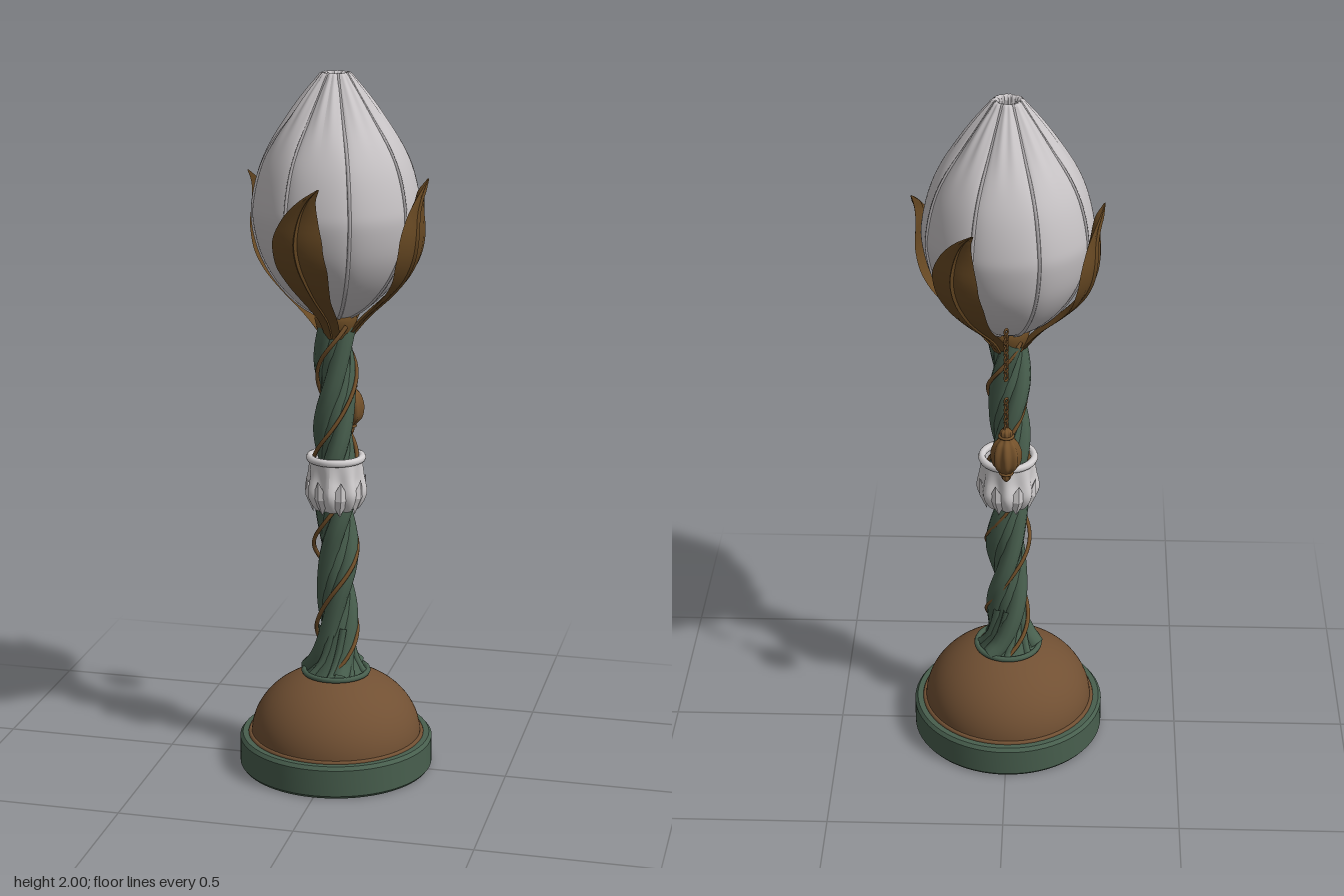
import * as THREE from 'three';
import { toCreasedNormals } from 'three/addons/utils/BufferGeometryUtils.js';

const mat = (name, color, side = THREE.FrontSide) => {
  const m = new THREE.MeshStandardMaterial({ color, side });
  m.name = name;
  return m;
};

export function createModel() {
  const green = mat('stem green', 0x485f4e);
  const brown = mat('dome brown', 0x715033);
  const copper = mat('leaf copper', 0x684923);
  const bronze = mat('vine bronze', 0x75522b);
  const white = mat('petal white', 0xc8c4c6, THREE.DoubleSide);
  const grey = mat('rib grey', 0xb0acae);
  const collarWhite = mat('collar white', 0xd2cfd0, THREE.DoubleSide);

  const root = new THREE.Group();
  root.name = 'budLamp';
  const add = (name, geometry, material, parent = root) => {
    const mesh = new THREE.Mesh(geometry, material);
    mesh.name = name;
    parent.add(mesh);
    return mesh;
  };
  const group = (name) => {
    const g = new THREE.Group();
    g.name = name;
    root.add(g);
    return g;
  };
  const ring = (name, r, tube, y, material, parent) => {
    const m = add(name, new THREE.TorusGeometry(r, tube, 8, 56), material, parent);
    m.rotation.x = Math.PI / 2;
    m.position.y = y;
  };
  const v2 = (pts) => pts.map(([x, y]) => new THREE.Vector2(x, y));
  const lathe = (pts, seg = 64) => new THREE.LatheGeometry(v2(pts), seg);
  const smoothLathe = (pts, seg, n) =>
    new THREE.LatheGeometry(new THREE.SplineCurve(v2(pts)).getPoints(n), seg);
  const polar = (r, a, y) => new THREE.Vector3(r * Math.sin(a), y, r * Math.cos(a));

  // Scale the radius of a turned shape by a rule of angle and height
  const flute = (geo, rule) => {
    const p = geo.attributes.position;
    for (let i = 0; i < p.count; i++) {
      const k = rule(Math.atan2(p.getX(i), p.getZ(i)), p.getY(i));
      p.setX(i, p.getX(i) * k);
      p.setZ(i, p.getZ(i) * k);
    }
    geo.computeVertexNormals();
    return geo;
  };

  // Skin closed cross-section loops, listed from bottom to top
  const skin = (rows) => {
    const n = rows[0].length, idx = [];
    for (let i = 0; i < rows.length - 1; i++)
      for (let j = 0; j < n; j++) {
        const a = i * n + j, b = i * n + ((j + 1) % n);
        idx.push(a, b, a + n, b, b + n, a + n);
      }
    const g = new THREE.BufferGeometry().setFromPoints(rows.flat());
    g.setIndex(idx);
    return toCreasedNormals(g, 0.7);
  };

  // Foot and dome
  add('foot', toCreasedNormals(lathe([[0, 0], [0.272, 0], [0.278, 0.008], [0.278, 0.085],
    [0.27, 0.095], [0.2, 0.095]], 72), 0.6), green);
  const dome = [];
  for (let i = 0; i <= 20; i++) {
    const a = (i / 20) * Math.PI / 2;
    dome.push([Math.max(0.245 * Math.cos(a), 0), 0.09 + 0.198 * Math.sin(a)]);
  }
  add('dome', lathe(dome, 72), brown);
  ring('domeRim', 0.247, 0.007, 0.095, brown);
  ring('stemRing', 0.092, 0.008, 0.283, green);

  // Twisted stem: core, flared strands and thin vines
  const stem = group('stem');
  add('stemCore', lathe([[0.085, 0.275], [0.055, 0.32], [0.04, 0.4], [0.04, 1.3], [0, 1.3]], 24), green, stem);
  const helix = (y0, y1, turns, phase, radiusAt) => {
    const pts = [];
    for (let i = 0; i <= 40; i++) {
      const t = i / 40, y = y0 + (y1 - y0) * t;
      pts.push(polar(radiusAt(y), phase + turns * 2 * Math.PI * t, y));
    }
    return new THREE.CatmullRomCurve3(pts);
  };
  const flare = (y) => 0.045 * Math.exp(-Math.max(y - 0.28, 0) / 0.04);
  for (let i = 0; i < 3; i++) {
    const path = helix(0.28, 1.3, 1.5, i * Math.PI / 1.5 + 0.4,
      (y) => 0.033 + 0.005 * Math.sin(y * 16 + i * 2) + flare(y));
    add('strand', new THREE.TubeGeometry(path, 100, 0.027, 10), green, stem);
  }
  for (let i = 0; i < 8; i++) {
    const path = helix(0.28, 0.42, 0.12, i * Math.PI / 4, (y) => 0.04 + flare(y));
    add('rootRidge', new THREE.TubeGeometry(path, 24, 0.011, 6), green, stem);
  }
  for (let i = 0; i < 2; i++) {
    const path = helix(0.29, 1.31, 2.1, i * Math.PI + 0.1,
      (y) => 0.057 + 0.006 * Math.sin(y * 21 + i) + 0.5 * flare(y));
    add('vine', new THREE.TubeGeometry(path, 120, 0.006, 6), bronze, stem);
  }

  // Pleated collar with a rolled rim and pointed scales
  const collar = group('collar');
  const cup = flute(smoothLathe([[0.045, 0.768], [0.064, 0.778], [0.083, 0.82], [0.077, 0.87], [0.075, 0.92]], 80, 20),
    (a, y) => 1 + 0.08 * Math.cos(8 * a) * Math.min(1, (0.92 - y) / 0.06));
  add('collarCup', cup, collarWhite, collar);
  ring('collarRim', 0.074, 0.011, 0.921, collarWhite, collar);
  for (let i = 0; i < 8; i++) {
    const a = (i + 0.5) * Math.PI / 4;
    const scale = add('collarScale', toCreasedNormals(new THREE.OctahedronGeometry(1), 0.3), collarWhite, collar);
    scale.scale.set(0.028, 0.054, 0.012);
    scale.position.copy(polar(0.075, a, 0.815));
    scale.rotation.set(0.2, a, 0, 'YXZ');
  }

  // Closed bud of eight petals, drawn in at the seams
  const bud = group('bud');
  const profile = [[0.03, 1.32], [0.1, 1.362], [0.165, 1.43], [0.21, 1.51], [0.232, 1.6], [0.23, 1.66],
    [0.211, 1.74], [0.18, 1.81], [0.135, 1.88], [0.091, 1.94], [0.058, 1.98], [0.04, 2.0]];
  const pinch = (y) => 0.015 + 0.16 * THREE.MathUtils.smoothstep(y, 1.76, 1.99);
  const petals = flute(smoothLathe([...profile, [0.028, 1.992], [0.025, 1.95]], 160, 60), (a, y) => {
    const seam = Math.pow(1 - Math.abs(Math.cos(4 * a)), 3);
    const wrinkle = 0.15 * Math.cos(24 * a);
    return 1 - pinch(y) * (seam + wrinkle * THREE.MathUtils.smoothstep(y, 1.75, 1.95));
  });
  add('petals', petals, white, bud);
  const floor = add('budTop', new THREE.CircleGeometry(0.034, 24), white, bud);
  floor.rotation.x = -Math.PI / 2;
  floor.position.y = 1.975;
  for (let i = 0; i < 8; i++) {
    const a = (i + 0.5) * Math.PI / 4;
    const path = new THREE.CatmullRomCurve3(profile.map(([r, y]) => polar(r * (1 - pinch(y)) + 0.001, a, y)));
    add('petalRib', new THREE.TubeGeometry(path, 48, 0.005, 6), grey, bud);
  }

  // Four swept leaves: x = height, y = radius, z = sideways shift; second curve x = half width
  const leaves = group('leaves');
  const spine = new THREE.CatmullRomCurve3([[1.27, 0.035, 0], [1.33, 0.085, 0], [1.4, 0.16, -0.015], [1.45, 0.203, -0.027],
    [1.51, 0.234, -0.042], [1.57, 0.246, -0.048], [1.64, 0.244, -0.036], [1.69, 0.248, -0.012], [1.722, 0.258, 0.018]]
    .map((p) => new THREE.Vector3(...p)));
  const width = new THREE.CatmullRomCurve3([0.02, 0.026, 0.042, 0.06, 0.076, 0.075, 0.05, 0.022, 0.003]
    .map((w) => new THREE.Vector3(w, 0, 0)));
  const section = [[-1, 0.004], [-0.5, 0.008], [-0.08, 0.006], [0, 0.013], [0.08, 0.006], [0.5, 0.008], [1, 0.004], [0, -0.012]];
  for (const degrees of [-1, 85, 157, 260]) {
    const rows = [];
    for (let k = 0; k <= 32; k++) {
      const p = spine.getPoint(k / 32), w = width.getPoint(k / 32).x;
      const thin = Math.min(1, w / 0.02);
      rows.push(section.map(([s, d]) =>
        polar(p.y + d * thin, THREE.MathUtils.degToRad(degrees) + (p.z + s * w) / p.y, p.x)));
    }
    add('leaf', skin(rows), copper, leaves);
  }
  add('calyx', lathe([[0.045, 1.27], [0.052, 1.29], [0.06, 1.32], [0.05, 1.335], [0, 1.335]], 32), copper, leaves);

  // Hanging chain and ribbed pendant behind the stem
  const pendant = group('pendant');
  pendant.position.z = -0.166;
  const links = (y0, y1) => {
    for (let y = y0, i = 0; y <= y1; y += 0.014, i++) {
      const link = add('chainLink', new THREE.TorusGeometry(0.0065, 0.003, 5, 10), bronze, pendant);
      link.position.y = y;
      link.scale.y = 1.3;
      link.rotation.y = (i % 2) * Math.PI / 2 + Math.PI / 4;
    }
  };
  links(1.265, 1.41);
  links(1.11, 1.2);
  const drop = flute(smoothLathe([[0.002, 0.938], [0.012, 0.95], [0.016, 0.97], [0.036, 0.995], [0.041, 1.03],
    [0.033, 1.06], [0.018, 1.08], [0.016, 1.1], [0.002, 1.112]], 64, 36),
    (a) => 0.97 + 0.09 * Math.cos(8 * a));
  add('pendantDrop', drop, bronze, pendant);
  ring('pendantRing', 0.019, 0.004, 1.085, bronze, pendant);
  ring('pendantRing', 0.017, 0.004, 0.968, bronze, pendant);

  return root;
}
